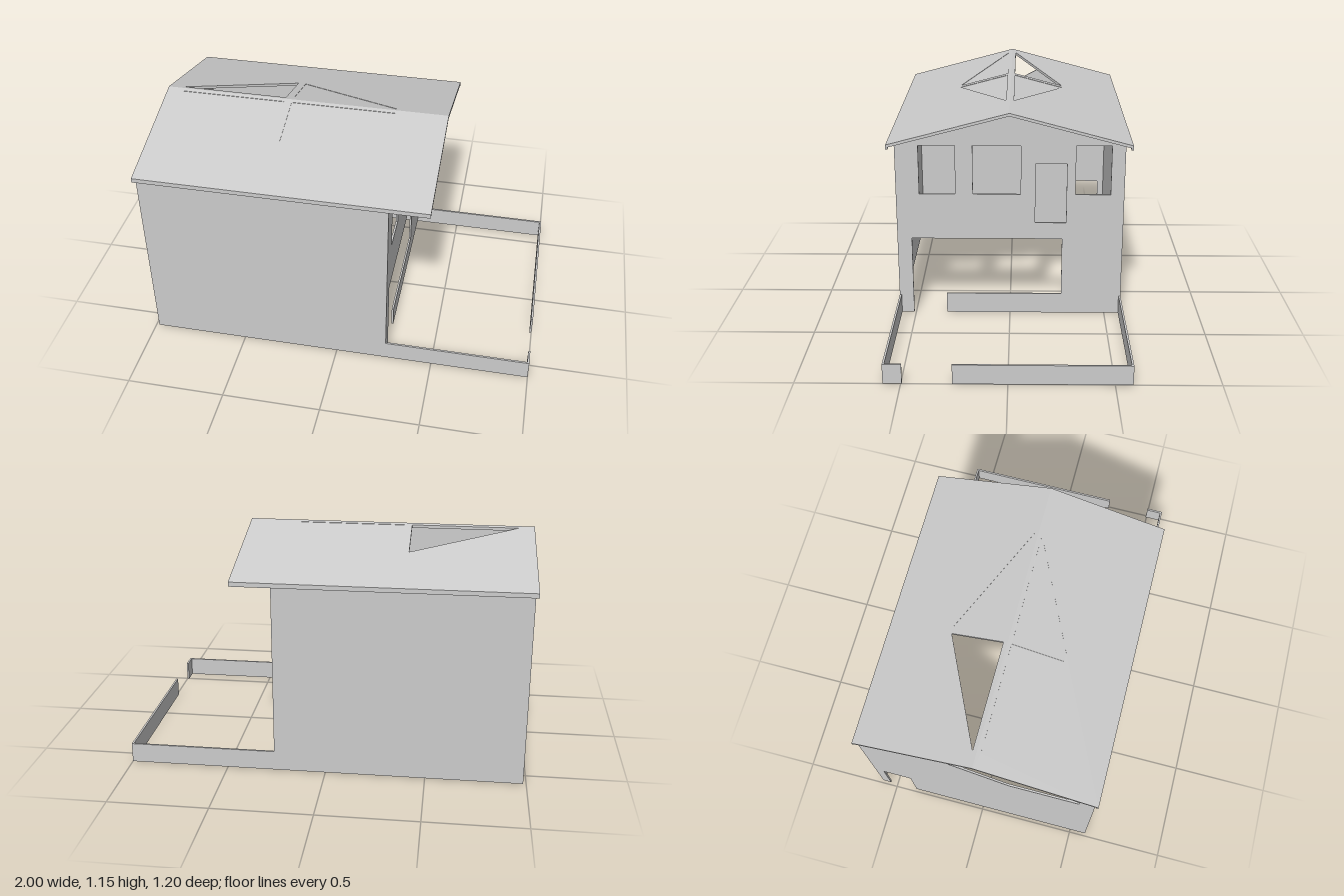
import * as THREE from 'three';

const T = 0.01;          // wall thickness
const RIDGE = 1.155;     // top of the roof
const SLOPE = 0.267;     // roof drop per unit of z
const UNDER = 0.015;     // roof thickness

export function createModel() {
  const house = new THREE.Group();
  house.name = 'house';
  const mat = new THREE.MeshStandardMaterial({ color: 0xcccccc, side: THREE.DoubleSide });

  const add = (name, geo) => {
    const mesh = new THREE.Mesh(geo, mat);
    mesh.name = name;
    house.add(mesh);
    return mesh;
  };
  const box = (name, x0, x1, y0, y1, z0, z1) =>
    add(name, new THREE.BoxGeometry(x1 - x0, y1 - y0, z1 - z0))
      .position.set((x0 + x1) / 2, (y0 + y1) / 2, (z0 + z1) / 2);
  const toShape = (pts, holes = []) => {
    const v = (list) => list.map(([a, b]) => new THREE.Vector2(a, b));
    const shape = new THREE.Shape(v(pts));
    shape.holes = holes.map((h) => new THREE.Path(v(h)));
    return shape;
  };
  const rect = (z0, z1, y0, y1) => [[z0, y0], [z1, y0], [z1, y1], [z0, y1]];

  // End walls, drawn as (z, y) outlines; door gaps belong to the foot of the outline
  const zi = 0.575;
  const peak = RIDGE - UNDER;
  const gable = (name, x, foot, holes) => {
    const eave = peak - SLOPE * zi;
    const pts = [[-zi, 0], ...foot, [zi, 0], [zi, eave], [0, peak], [-zi, eave]];
    const geo = new THREE.ExtrudeGeometry(toShape(pts, holes), { depth: T, bevelEnabled: false });
    geo.rotateY(-Math.PI / 2);
    add(name, geo).position.x = x;
  };
  gable('entranceWall', 0.26,
    [[0.335, 0], [0.335, 0.11], [-0.27, 0.11], [-0.27, 0.425], [0.51, 0.425], [0.51, 0]],
    [
      rect(0.28, 0.465, 0.67, 0.93),
      rect(-0.055, 0.19, 0.67, 0.93),
      rect(-0.515, -0.335, 0.67, 0.93),
      rect(-0.29, -0.13, 0.515, 0.835),
    ]);
  gable('farWall', -0.975,
    [[-0.54, 0], [-0.54, 0.31], [-0.39, 0.31], [-0.39, 0]],
    [[[0.16, 0.87], [0.51, 0.87], [0.51, 0.905], [0.17, 1.08], [0, 1.125], [-0.19, 1.075], [-0.19, 1.052]]]);

  // Long side walls
  box('frontWall', -0.985, 0.26, 0, 0.984, zi, 0.585);
  box('backWall', -0.985, 0.26, 0, 0.984, -0.585, -zi);

  // Roof pieces: plan outlines (x, z) extruded downwards, then sheared to the pitch
  const pitched = (name, pts, holes, top, depth) => {
    const geo = new THREE.ExtrudeGeometry(toShape(pts, holes), { depth, bevelEnabled: false });
    geo.rotateX(Math.PI / 2);
    const p = geo.attributes.position;
    for (let i = 0; i < p.count; i++) p.setY(i, p.getY(i) + top - SLOPE * Math.abs(p.getZ(i)));
    geo.computeVertexNormals();
    add(name, geo);
  };
  for (const s of [1, -1]) {
    const side = s > 0 ? 'front' : 'back';
    const lights = [
      [[-0.92, 0.02 * s], [-0.38, 0.02 * s], [-0.38, 0.28 * s]],
      [[0.2, 0.02 * s], [-0.34, 0.02 * s], [-0.34, 0.28 * s]],
    ];
    pitched(side + 'RoofSlope', [[-1, 0], [0.46, 0], [0.46, 0.6 * s], [-1, 0.6 * s]], lights, RIDGE, UNDER);
    // One triangular skylight on the back slope stays open
    lights.forEach((tri, i) => {
      if (s > 0 || i === 1) pitched(side + 'SkylightPanel', tri, [], RIDGE - 0.002, 0.01);
    });
    // Lip along the eave
    box(side + 'Fascia', -1, 0.46, 0.972, 0.99, s > 0 ? 0.59 : -0.6, s > 0 ? 0.6 : -0.59);
  }

  // Low yard wall with a gate gap
  box('yardWallFront', 0.26, 1, 0, 0.1, zi, 0.585);
  box('yardWallBack', 0.26, 1, 0, 0.1, -0.585, -zi);
  box('yardWallEnd', 0.99, 1, 0, 0.1, -zi, 0.26);
  box('yardWallGatePost', 0.99, 1, 0, 0.1, 0.495, zi);

  return house;
}
